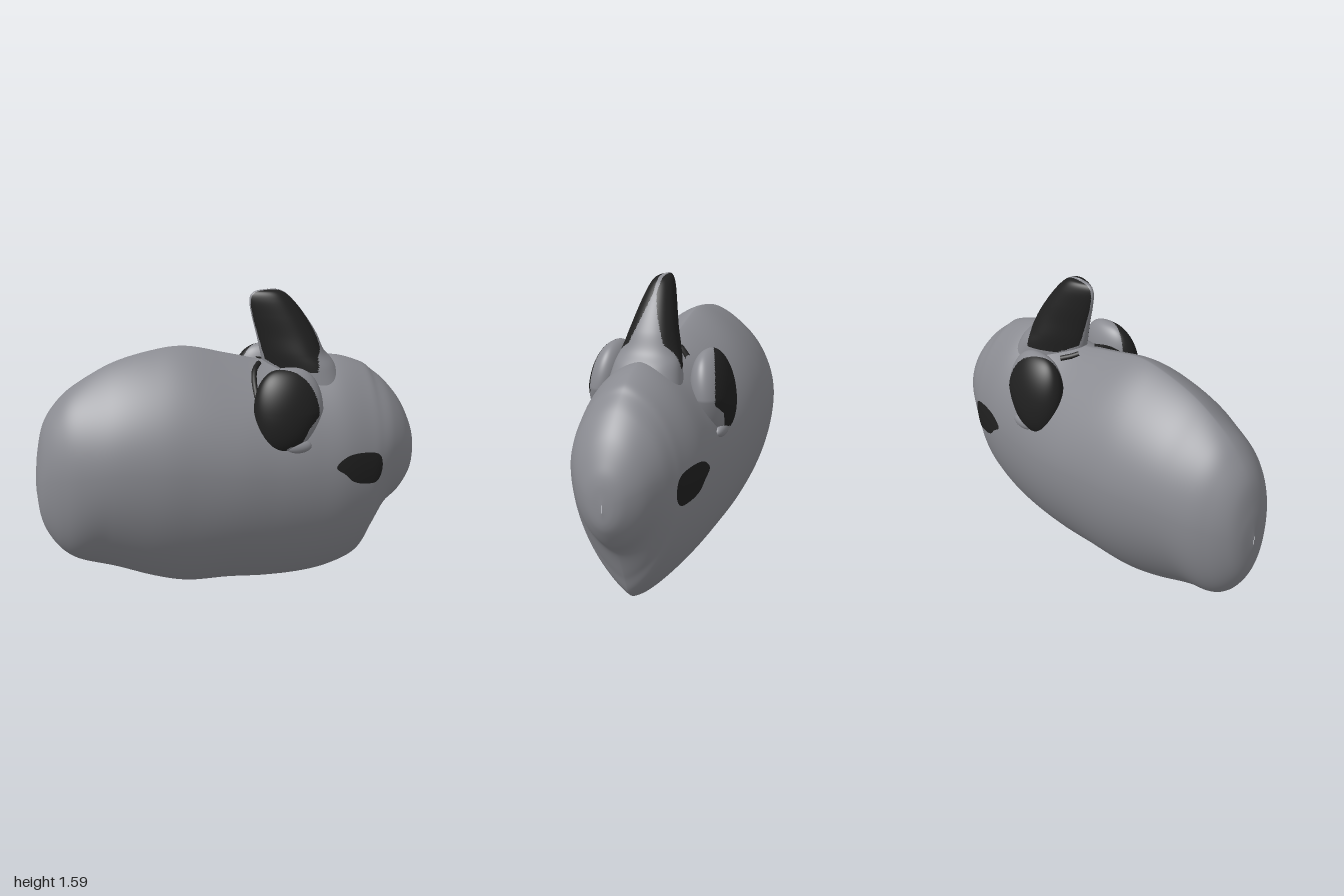
import * as THREE from 'three';

const grey = new THREE.MeshStandardMaterial({ color: 0x8a8b91 });
grey.name = 'stone grey';
const black = new THREE.MeshStandardMaterial({ color: 0x202020 });
black.name = 'soft black';

// Smooth skin over closed rings; point(t, angle) gives a position
function skin(rows, cols, point) {
  const pos = [], index = [];
  for (let i = 0; i <= rows; i++) {
    for (let j = 0; j < cols; j++) pos.push(...point(i / rows, (j / cols) * Math.PI * 2));
  }
  for (let i = 0; i < rows; i++) {
    for (let j = 0; j < cols; j++) {
      const k = (j + 1) % cols;
      const a = i * cols + j, b = i * cols + k, c = a + cols, d = b + cols;
      index.push(a, b, c, b, d, c);
    }
  }
  const g = new THREE.BufferGeometry();
  g.setAttribute('position', new THREE.Float32BufferAttribute(pos, 3));
  g.setIndex(index);
  g.computeVertexNormals();
  return g;
}

// Splits the faces into a grey and a black group by a test on their centres
function paint(g, isBlack) {
  const p = g.attributes.position, idx = g.index.array, parts = [[], []];
  for (let f = 0; f < idx.length; f += 3) {
    const tri = [idx[f], idx[f + 1], idx[f + 2]];
    const mid = (get) => tri.reduce((s, v) => s + get(v), 0) / 3;
    const hit = isBlack(mid((v) => p.getX(v)), mid((v) => p.getY(v)), mid((v) => p.getZ(v)));
    parts[hit ? 1 : 0].push(...tri);
  }
  g.setIndex(parts[0].concat(parts[1]));
  g.addGroup(0, parts[0].length, 0);
  g.addGroup(parts[0].length, parts[1].length, 1);
  return g;
}

// Even-odd test against an outline in the side plane
function inside(outline, x, y) {
  let odd = false;
  outline.forEach(([x1, y1], i) => {
    const [x2, y2] = outline[(i + 1) % outline.length];
    if ((y1 > y) !== (y2 > y) && x < x1 + ((y - y1) * (x2 - x1)) / (y2 - y1)) odd = !odd;
  });
  return odd;
}

const spline = (pts, closed = false) =>
  new THREE.CatmullRomCurve3(pts.map((p) => new THREE.Vector3(...p)), closed, 'catmullrom');
const { lerp, smoothstep } = THREE.MathUtils;

// Body stations: x, bottom, top, half width
const stations = [
  [-1, 0.6, 0.66, 0.002], [-0.985, 0.46, 0.8, 0.085], [-0.95, 0.36, 0.95, 0.148],
  [-0.88, 0.26, 1.06, 0.212], [-0.78, 0.19, 1.15, 0.268], [-0.6, 0.13, 1.25, 0.33],
  [-0.4, 0.055, 1.305, 0.37], [-0.22, 0.012, 1.32, 0.38], [0, 0.01, 1.27, 0.38],
  [0.2, 0, 1.225, 0.362], [0.4, 0.006, 1.225, 0.342], [0.56, 0.035, 1.23, 0.325],
  [0.7, 0.1, 1.185, 0.289], [0.76, 0.22, 1.14, 0.266], [0.83, 0.37, 1.08, 0.231],
  [0.91, 0.45, 0.98, 0.175], [0.965, 0.525, 0.87, 0.113], [0.99, 0.58, 0.79, 0.062],
  [1, 0.65, 0.69, 0.002],
];
const outlineCurve = spline(stations.map(([x, b, t]) => [x, b, t]));
const widthCurve = spline(stations.map((s) => [s[3], 0, 0]));

// Cross-section: keel below, ridged back, rounding out at the head and rump
function bodyPoint(t, a) {
  const s = outlineCurve.getPoint(t), w = widthCurve.getPoint(t).x;
  const mid = s.y + (s.z - s.y) * 0.57;
  const up = Math.cos(a) > 0;
  const keel = up ? 1.32 + 0.32 * smoothstep(s.x, 0, 0.4) : 1.15;
  const n = 2 / lerp(keel, 1.9, smoothstep(Math.abs(s.x), 0.65, 0.95));
  const z = w * Math.sign(Math.sin(a)) * Math.pow(Math.abs(Math.sin(a)), n);
  return [s.x, mid + (up ? s.z - mid : mid - s.y) * Math.cos(a), z];
}

// Half thickness of the body at a side position, by bisection
function bodyDepth(x, y) {
  const solve = (lo, hi, below) => {
    for (let i = 0; i < 30; i++) {
      const m = (lo + hi) / 2;
      if (below(m)) lo = m;
      else hi = m;
    }
    return lo;
  };
  const t = solve(0, 1, (m) => bodyPoint(m, 0)[0] < x);
  return bodyPoint(t, solve(0, Math.PI, (m) => bodyPoint(t, m)[1] > y))[2];
}

// Eye: a thin patch that follows the cheek
const eyeOutline = spline([[0.492, 0.735], [0.55, 0.785], [0.64, 0.793], [0.735, 0.768], [0.757, 0.69],
  [0.73, 0.622], [0.66, 0.62], [0.588, 0.645], [0.54, 0.692]].map(([x, y]) => [x, y, 0]), true);

function makeEye(side) {
  // the outline runs clockwise seen from +z, and the other way on the far side
  const g = skin(8, 60, (t, a) => {
    const turn = a / (Math.PI * 2);
    const p = eyeOutline.getPoint(side > 0 ? turn : 1 - turn);
    const x = lerp(0.64, p.x, t), y = lerp(0.71, p.y, t);
    return [x, y, side * (bodyDepth(x, y) + 0.004)];
  });
  return new THREE.Mesh(g, black);
}

// Crest levels: y, back x, front x, half width
const crestLevels = [
  [1.08, 0.2, 0.62, 0.19], [1.2, 0.18, 0.555, 0.166], [1.27, 0.165, 0.495, 0.143], [1.36, 0.145, 0.454, 0.115],
  [1.46, 0.12, 0.39, 0.087], [1.54, 0.108, 0.325, 0.061], [1.58, 0.13, 0.275, 0.037], [1.592, 0.19, 0.22, 0.002],
];
const crestEdges = spline(crestLevels.map(([y, b, f]) => [y, b, f]));
const crestWidth = spline(crestLevels.map((s) => [s[3], 0, 0]));
const crestPatch = [[0.1, 1.55], [0.16, 1.25], [0.27, 1.19], [0.43, 1.19], [0.435, 1.26], [0.46, 1.31],
  [0.44, 1.42], [0.34, 1.54], [0.27, 1.6], [0.1, 1.6]];

function makeCrest() {
  const g = skin(110, 120, (t, a) => {
    const e = crestEdges.getPoint(t), s = Math.sin(a);
    const z = (crestWidth.getPoint(t).x * Math.cos(a) * (0.75 + 0.35 * s)) / 0.82;
    return [lerp(e.y, e.z, (1 + s) / 2), e.x, z];
  });
  const isBlack = (x, y, z) => {
    const strip = 0.01 + Math.max(0, 1.52 - y) * 0.36 * Math.max(0, (x - 0.12) / 0.33);
    return Math.abs(z) > strip && inside(crestPatch, x, y);
  };
  return new THREE.Mesh(paint(g, isBlack), [grey, black]);
}

const earPatch = [[0.06, 1.0], [0.06, 1.2], [0.12, 1.27], [0.33, 1.27], [0.38, 1.15], [0.412, 1.03],
  [0.34, 0.96], [0.3, 0.87], [0.24, 0.87], [0.18, 0.8], [0.1, 0.9]];

// Side ear: a leaning lobe, black on its outer face
function makeEar(side) {
  const g = skin(100, 120, (t, a) => {
    const v = -Math.cos(t * Math.PI), r = Math.sin(t * Math.PI);
    const y = 1.035 + 0.212 * v, low = Math.min(v, 0);
    const x = 0.252 + 0.03 * low + 0.176 * Math.pow(r, 0.75) * (1 + 0.2 * low) * Math.sin(side * a);
    return [x, y, side * (0.27 - 0.13 * (y - 1.035) + 0.1 * r * Math.cos(a))];
  });
  const isBlack = (x, y, z) => z * side > 0.205 + 0.4 * (x - 0.09) && inside(earPatch, x, y);
  return new THREE.Mesh(paint(g, isBlack), [grey, black]);
}

// Dark crease lying along the back
const makeCrease = (pts) => new THREE.Mesh(new THREE.TubeGeometry(spline(pts), 24, 0.014, 8), black);

export function createModel() {
  const model = new THREE.Group();
  const add = (name, mesh) => {
    mesh.name = name;
    model.add(mesh);
  };
  add('body', new THREE.Mesh(skin(180, 120, bodyPoint), grey));
  add('centreCrest', makeCrest());
  for (const side of [1, -1]) {
    add(side > 0 ? 'frontSideEar' : 'backSideEar', makeEar(side));
    add('eye', makeEye(side));
    // small fold of skin under the ear
    const fold = new THREE.Mesh(new THREE.SphereGeometry(1, 24, 16), grey);
    fold.scale.set(0.07, 0.035, 0.03);
    fold.position.set(0.29, 0.86, side * 0.325);
    add('earFold', fold);
  }
  add('frontCrease', makeCrease([[0.15, 1.22, 0.04], [0.115, 1.2, 0.1], [0.1, 1.155, 0.16], [0.1, 1.09, 0.22]]));
  add('backCrease', makeCrease([[0.15, 1.215, -0.06], [0.18, 1.2, -0.09], [0.22, 1.185, -0.125]]));
  return model;
}
